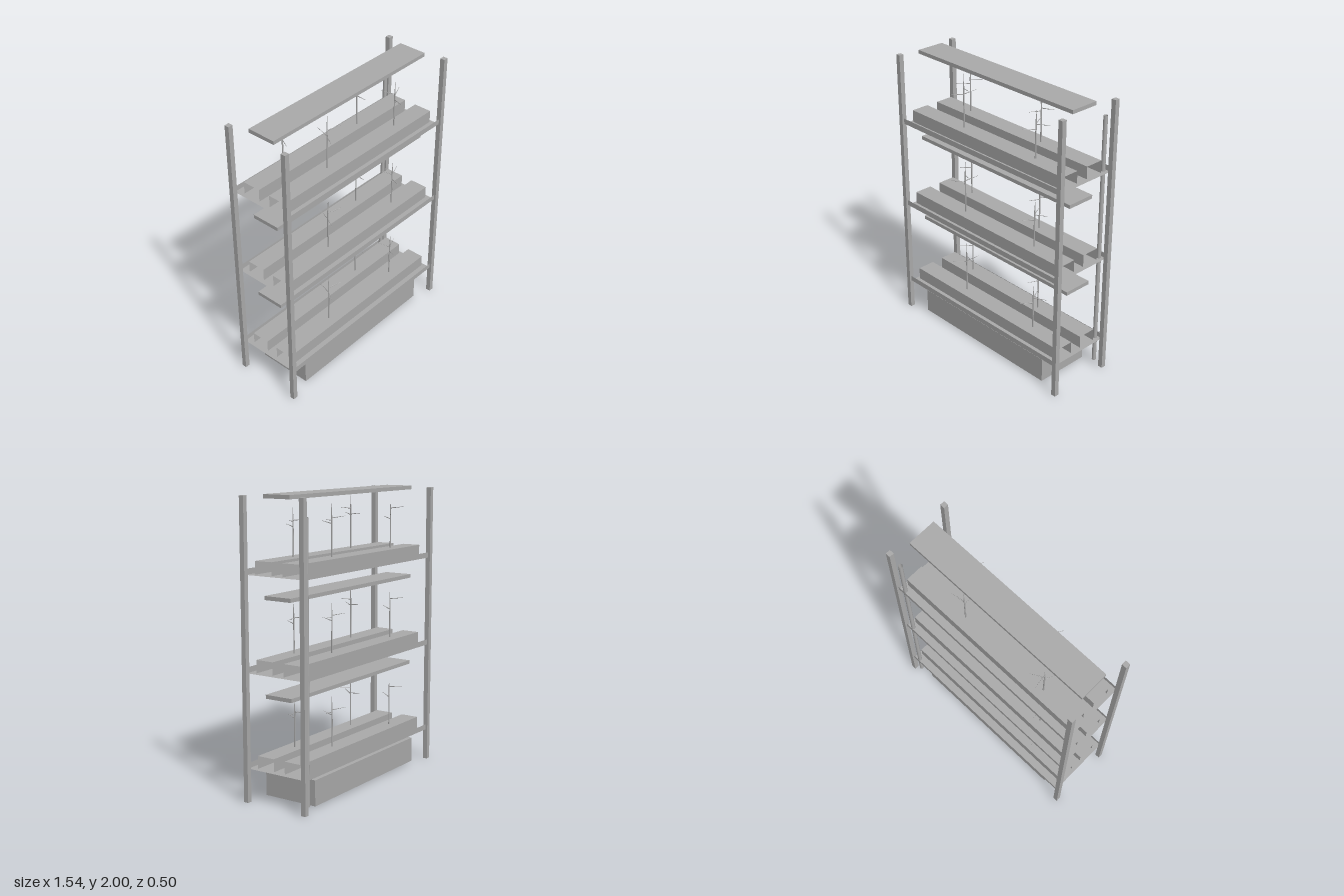
import * as THREE from 'three';

const grey = new THREE.MeshStandardMaterial({ color: 0xaaaaaa, side: THREE.DoubleSide });
grey.name = 'grey metal';

function add(parent, geometry, name, x = 0, y = 0, z = 0) {
  const mesh = new THREE.Mesh(geometry, grey);
  mesh.name = name;
  mesh.position.set(x, y, z);
  parent.add(mesh);
  return mesh;
}

// Sheet profile of [z, y] points swept along x, open at both ends
function sweptSheet(profile, halfLength) {
  const p = [];
  for (let i = 0; i < profile.length - 1; i++) {
    const [z0, y0] = profile[i], [z1, y1] = profile[i + 1], h = halfLength;
    p.push(-h, y0, z0, h, y0, z0, h, y1, z1, -h, y0, z0, h, y1, z1, -h, y1, z1);
  }
  const g = new THREE.BufferGeometry();
  g.setAttribute('position', new THREE.Float32BufferAttribute(p, 3));
  g.computeVertexNormals();
  return g;
}

// Thin tapered rod between two points
function rod(parent, name, from, to, r0, r1) {
  const a = new THREE.Vector3(...from), b = new THREE.Vector3(...to);
  const d = b.clone().sub(a);
  const m = add(parent, new THREE.CylinderGeometry(r1, r0, d.length(), 6), name);
  m.position.copy(a).add(b).multiplyScalar(0.5);
  m.quaternion.setFromUnitVectors(new THREE.Vector3(0, 1, 0), d.normalize());
}

// Plants: base x, z, height, then branch tips as x, height, z
const plants = [
  { x: -0.43, z: -0.108, h: 0.325, tips: [[-0.345, 0.245, -0.16], [-0.445, 0.29, -0.205], [-0.48, 0.215, -0.02]] },
  { x: -0.255, z: 0.107, h: 0.38, tips: [[-0.31, 0.245, 0.19], [-0.165, 0.29, 0.14], [-0.235, 0.25, 0.01]] },
  { x: 0.26, z: -0.095, h: 0.345, tips: [[0.19, 0.265, -0.155], [0.355, 0.25, -0.113], [0.24, 0.23, -0.005]] },
  { x: 0.41, z: 0.103, h: 0.33, tips: [[0.372, 0.21, 0.19], [0.5, 0.245, 0.07], [0.375, 0.25, 0.02]] },
];

function makePlant({ x, z, h, tips }) {
  const plant = new THREE.Group();
  plant.name = 'plant';
  rod(plant, 'stem', [x, 0, z], [x, h * 0.75, z], 0.0055, 0.0045);
  rod(plant, 'stemTip', [x, h * 0.75, z], [x + 0.004, h, z], 0.0045, 0.001);
  for (const tip of tips) rod(plant, 'branch', [x, tip[1] - 0.012, z], tip, 0.0035, 0.001);
  return plant;
}

export function createModel() {
  const model = new THREE.Group();
  model.name = 'plantRack';

  // Corner posts
  for (const sx of [-1, 1]) for (const sz of [-1, 1])
    add(model, new THREE.BoxGeometry(0.034, 1.99, 0.034), 'post', sx * 0.753, 0.995, sz * 0.232);

  // Water pipe at the rear left corner
  add(model, new THREE.CylinderGeometry(0.0145, 0.0145, 1.83, 16, 1, true), 'supplyPipe', 0.697, 0.955, -0.213);

  // Three tiers: shelf tray, two growing channels, plants and a lamp panel
  const shelf = sweptSheet([[0.235, 0.038], [0.235, 0], [-0.235, 0], [-0.235, 0.038]], 0.738);
  const channel = sweptSheet([[0.065, 0.003], [0.065, 0.09], [-0.065, 0.09], [-0.065, 0.003]], 0.713);
  for (const y of [0.222, 0.858, 1.492]) {
    const tier = new THREE.Group();
    tier.name = 'tier';
    tier.position.y = y;
    add(tier, shelf, 'shelf');
    for (const s of [-1, 1]) add(tier, channel, 'growingChannel', 0, 0, s * 0.109);
    add(tier, new THREE.BoxGeometry(1.426, 0.026, 0.205), 'lampPanel', 0, 0.495, 0);
    for (const p of plants) {
      const plant = makePlant(p);
      plant.position.y = 0.088;
      tier.add(plant);
    }
    model.add(tier);
  }

  // Reservoir shell, open underneath, with a filler cap
  const tank = new THREE.Group();
  tank.name = 'reservoir';
  add(tank, sweptSheet([[0.2, 0.01], [0.2, 0.185], [-0.2, 0.185], [-0.2, 0.01]], 0.598), 'reservoirShell');
  for (const s of [-1, 1])
    add(tank, new THREE.PlaneGeometry(0.4, 0.175), 'reservoirEnd', s * 0.598, 0.0975, 0).rotation.y = s * Math.PI / 2;
  add(tank, new THREE.CylinderGeometry(0.043, 0.043, 0.02, 24), 'fillerCap', 0.237, 0.195, 0.08);
  model.add(tank);

  return model;
}
